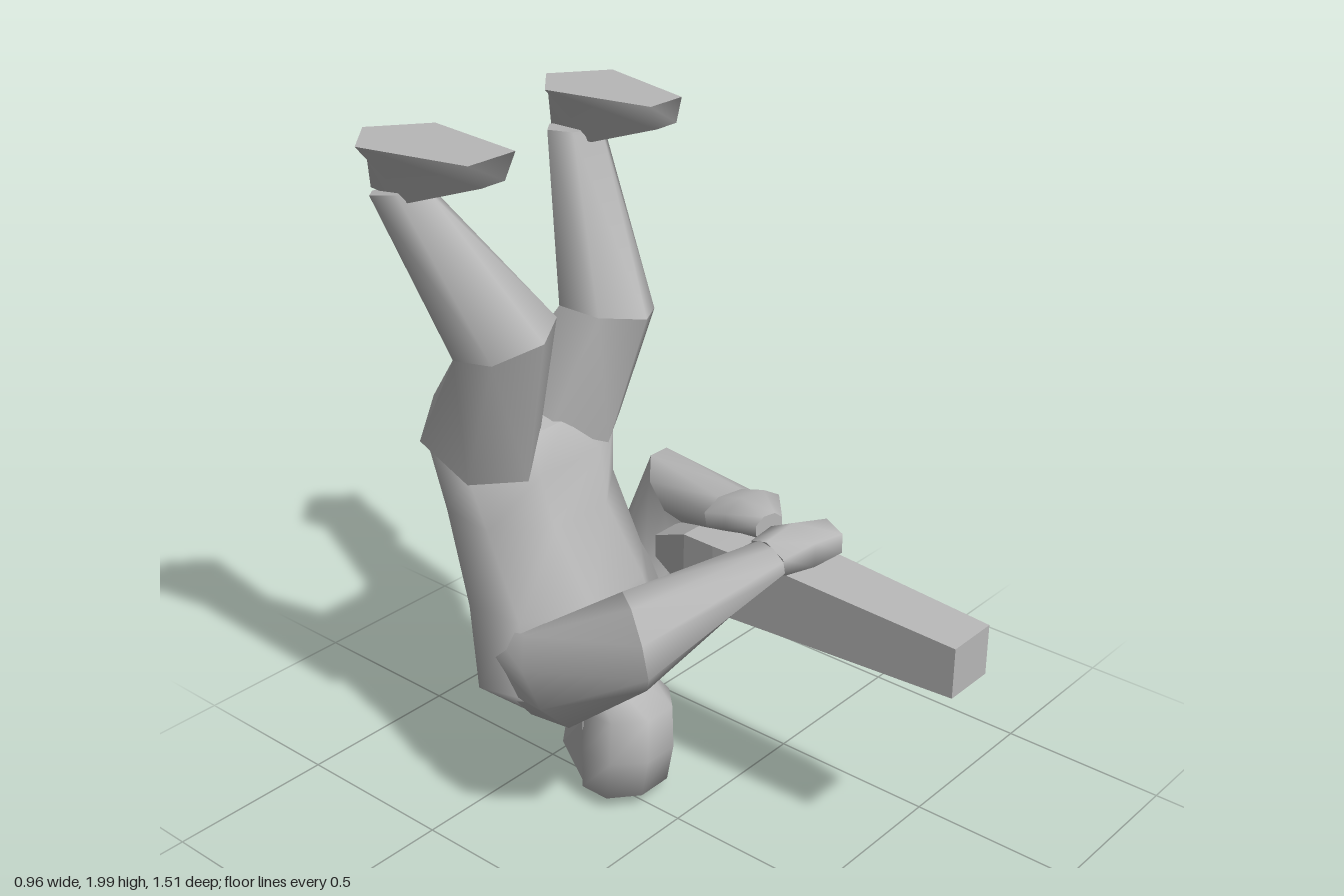
import * as THREE from 'three';

const V = (a) => new THREE.Vector3(...a);

// Ring of n points whose flat sides touch the half-extents u and v around centre c
function ring([c, u, v], n) {
  const k = 1 / Math.cos(Math.PI / n);
  return Array.from({ length: n }, (_, i) => {
    const t = ((i + 0.5) / n) * Math.PI * 2;
    return V(c).addScaledVector(V(u), k * Math.cos(t)).addScaledVector(V(v), k * Math.sin(t));
  });
}

// Skin through rings of equal point count, with end caps; faces always turn outward
function loft(rings, flat = false) {
  const n = rings[0].length, pos = [], idx = [];
  rings.forEach((r) => r.forEach((p) => pos.push(p.x, p.y, p.z)));
  for (let j = 0; j < rings.length - 1; j++) {
    for (let i = 0; i < n; i++) {
      const a = j * n + i, b = j * n + ((i + 1) % n);
      idx.push(a, b, b + n, a, b + n, a + n);
    }
  }
  [rings[0], rings[rings.length - 1]].forEach((r, end) => {
    const base = pos.length / 3;
    const mid = r.reduce((s, p) => s.add(p), new THREE.Vector3()).divideScalar(n);
    [...r, mid].forEach((p) => pos.push(p.x, p.y, p.z));
    for (let i = 0; i < n; i++) {
      const a = base + i, b = base + ((i + 1) % n);
      if (end) idx.push(a, b, base + n);
      else idx.push(b, a, base + n);
    }
  });
  const at = (i) => new THREE.Vector3().fromArray(pos, i * 3);
  let volume = 0;
  for (let i = 0; i < idx.length; i += 3) volume += at(idx[i]).dot(at(idx[i + 1]).cross(at(idx[i + 2])));
  if (volume < 0) idx.reverse();
  let g = new THREE.BufferGeometry();
  g.setAttribute('position', new THREE.Float32BufferAttribute(pos, 3));
  g.setIndex(idx);
  if (flat) g = g.toNonIndexed();
  g.computeVertexNormals();
  return g;
}

export function createModel() {
  const model = new THREE.Group();
  model.name = 'upsideDownFigure';
  const grey = new THREE.MeshStandardMaterial({ color: 0xb8b8b8 });
  grey.name = 'grey';

  const add = (name, geometry) => {
    const m = new THREE.Mesh(geometry, grey);
    m.name = name;
    model.add(m);
  };
  const limb = (name, sections, n = 8, flat = false) => add(name, loft(sections.map((s) => ring(s, n)), flat));
  // Section spanning x, tilted by vy across its depth vz; uy and uz skew its width
  const s = (x, y, z, hx, vy, vz, uy = 0, uz = 0) => [[x, y, z], [hx, uy, uz], [0, vy, vz]];

  // Torso from hips down to neck, chest turned a little to its left
  limb('torso', [
    s(-0.03, 1.16, -0.57, 0.15, -0.03, 0.13),
    s(-0.02, 1.1, -0.55, 0.29, -0.06, 0.18),
    s(-0.01, 0.9, -0.535, 0.255, -0.02, 0.19),
    s(-0.01, 0.66, -0.445, 0.285, 0.02, 0.235, 0, -0.03),
    s(0.02, 0.45, -0.4, 0.36, 0.04, 0.2, 0, -0.04),
    s(0.05, 0.33, -0.37, 0.27, 0.01, 0.12, 0, -0.03),
    s(0.03, 0.275, -0.3, 0.1, 0, 0.07),
  ]);

  // Head, crown lowest
  limb('head', [
    s(0.03, 0.36, -0.25, 0.1, 0, 0.05),
    s(0.03, 0.3, -0.22, 0.125, 0.01, 0.13),
    s(0.03, 0.17, -0.22, 0.135, 0, 0.13),
    s(0.03, 0.045, -0.23, 0.135, 0, 0.115),
    s(0.02, 0.003, -0.25, 0.03, 0, 0.03),
  ]);
  // Wedge narrowing toward the rear
  limb('backOfHead', [
    s(0.03, 0.16, -0.28, 0.125, 0.11, 0),
    s(0.05, 0.175, -0.425, 0.06, 0.095, 0.02),
  ], 4, true);

  // Thighs and shins, ridged at front and back
  const legs = {
    right: [s(-0.185, 1.12, -0.55, 0.14, -0.065, 0.155, 0.025), s(-0.25, 1.48, -0.37, 0.12, 0.02, 0.122, 0.03),
      s(-0.355, 1.85, -0.62, 0.055, 0.02, 0.09)],
    left: [s(0.135, 1.12, -0.55, 0.145, -0.065, 0.155, -0.025), s(0.215, 1.41, -0.44, 0.115, 0, 0.126, -0.02),
      s(0.315, 1.86, -0.64, 0.06, 0.01, 0.085)],
  };
  for (const [side, [hip, knee, ankle]] of Object.entries(legs)) {
    limb(side + 'Thigh', [hip, knee], 6);
    limb(side + 'Shin', [knee, ankle], 6);
  }

  // Feet: pointed heel, blunt toe, soles facing up, ridged instep
  const foot = (name, x, toeX, toeW) => {
    const sole = [[toeX - toeW, 1.995, -0.295], [toeX + toeW, 1.995, -0.295], [x + 0.135, 1.99, -0.63],
      [x, 1.985, -0.755], [x - 0.135, 1.99, -0.63]];
    const instep = [[toeX - 0.04, 1.93, -0.295], [toeX + 0.04, 1.93, -0.295], [x + 0.055, 1.845, -0.54],
      [x, 1.83, -0.74], [x - 0.055, 1.845, -0.54]];
    add(name, loft([sole.map(V), instep.map(V)]));
  };
  foot('rightFoot', -0.345, -0.34, 0.08);
  foot('leftFoot', 0.325, 0.3, 0.062);

  // Right arm, reaching across to the front of the barrel
  const rightElbow = [[-0.245, 0.74, 0.06], [0.065, 0, -0.095], [0.005, 0.11, -0.03]];
  limb('rightUpperArm', [
    [[-0.2, 0.44, -0.42], [0.1, -0.04, 0], [0.02, 0.1, -0.1]],
    [[-0.285, 0.55, -0.19], [0.1, 0, 0], [0, 0.115, -0.08]],
    rightElbow,
  ]);
  const rightWrist = [[0.1, 0.905, 0.23], [0.015, 0, -0.065], [-0.01, 0.045, 0]];
  limb('rightForearm', [rightElbow, rightWrist]);
  limb('rightHand', [
    rightWrist,
    [[0.2, 0.9, 0.235], [0, 0, -0.075], [0, 0.062, 0]],
    [[0.33, 0.88, 0.25], [0, 0, -0.055], [0, 0.05, 0]],
  ], 6);

  // Left arm, bent sharply to the rear grip
  const leftElbow = [[0.39, 0.82, -0.34], [0.085, 0, 0], [-0.01, -0.085, 0.075]];
  limb('leftUpperArm', [
    s(0.27, 0.37, -0.43, 0.1, 0.01, 0.1, 0.05),
    s(0.345, 0.44, -0.46, 0.095, 0.01, 0.125, 0.01),
    s(0.385, 0.62, -0.425, 0.085, -0.01, 0.1),
    leftElbow,
  ]);
  const leftWrist = [[0.32, 0.86, -0.07], [0.095, 0, 0.02], [0, -0.05, 0.01]];
  limb('leftForearm', [leftElbow, leftWrist]);
  limb('leftHand', [
    leftWrist,
    [[0.295, 0.895, 0.02], [0.095, 0, 0.02], [0, -0.055, 0]],
    [[0.25, 0.9, 0.115], [0.045, 0, 0.01], [0, -0.035, 0]],
  ]);

  // Long tapered barrel
  limb('barrel', [
    [[0.29, 0.705, 0.757], [0.08, 0, 0], [0, 0.075, 0]],
    [[0.29, 0.71, 0.18], [0.098, 0, 0], [0, 0.1, 0]],
    [[0.29, 0.708, -0.03], [0.106, 0, 0], [0, 0.105, 0]],
    [[0.29, 0.72, -0.14], [0.1, 0, 0], [0, 0.09, 0]],
    [[0.29, 0.7, -0.29], [0.05, 0, 0], [0, 0.035, 0]],
  ], 4, true);

  return model;
}
